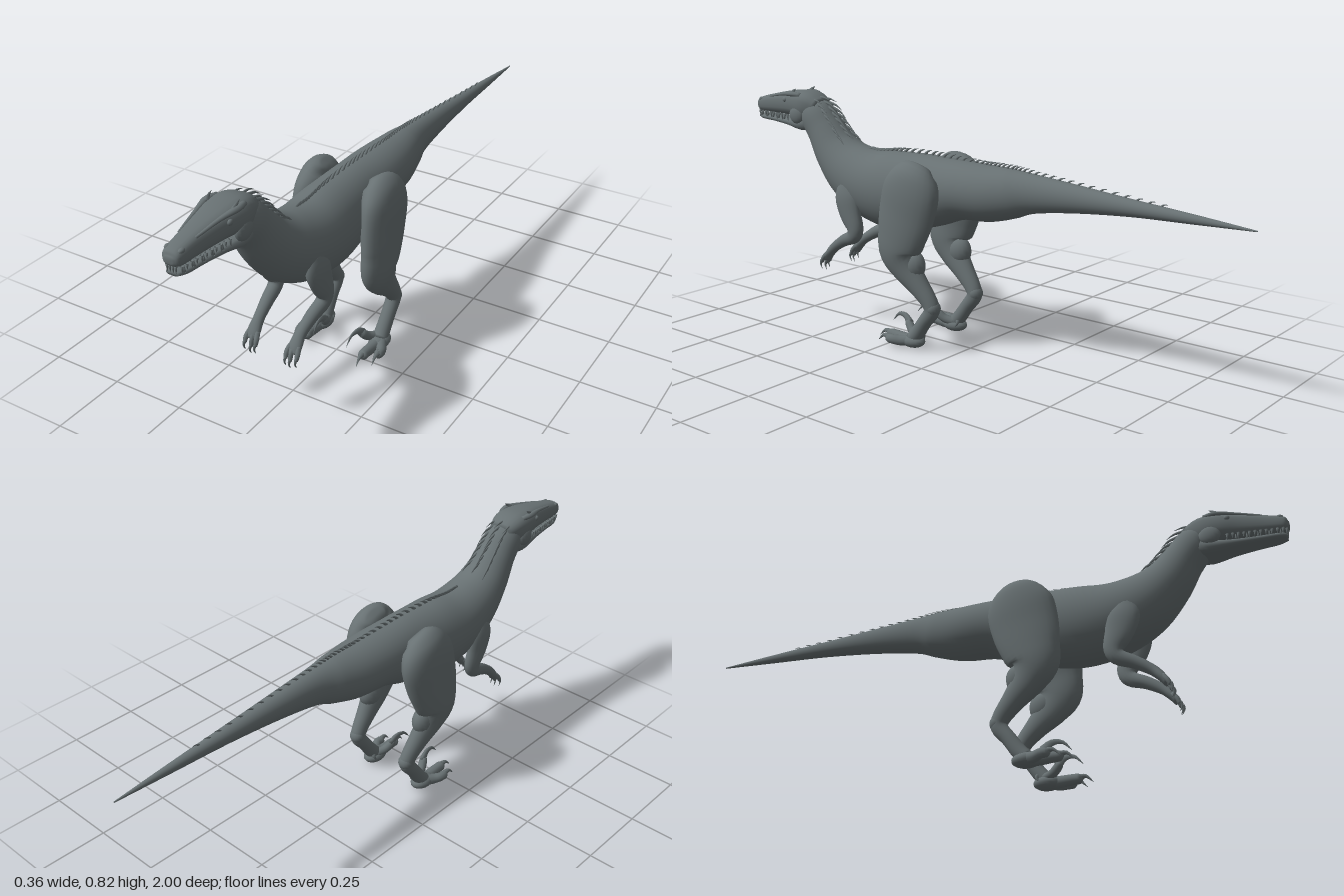
import * as THREE from 'three';

const skin = new THREE.MeshStandardMaterial({ color: 0x687173 });
skin.name = 'slate grey skin';

// Smooth sampler through stations [x, y, z, half width, half depth]
function sampler(stations) {
  const path = new THREE.CatmullRomCurve3(
    stations.map(s => new THREE.Vector3(s[0], s[1], s[2])), false, 'catmullrom', 0.5);
  const size = new THREE.CatmullRomCurve3(
    stations.map(s => new THREE.Vector3(s[3], s[4], 0)), false, 'catmullrom', 0.5);
  return t => {
    const centre = path.getPoint(t), r = size.getPoint(t), T = path.getTangent(t);
    const S = new THREE.Vector3(1, 0, 0).addScaledVector(T, -T.x).normalize();
    const U = new THREE.Vector3().crossVectors(T, S);
    const at = (angle, power = 1) => {
      const c = Math.cos(angle), s = Math.sin(angle);
      return centre.clone()
        .addScaledVector(S, Math.max(r.x, 0.0005) * Math.sign(c) * Math.abs(c) ** power)
        .addScaledVector(U, Math.max(r.y, 0.0005) * Math.sign(s) * Math.abs(s) ** power);
    };
    return { centre, T, S, U, at };
  };
}

// Skin elliptical rings along the stations and close both ends
function loft(name, stations, { sides = 16, steps = 4, power = 1 } = {}) {
  const sample = sampler(stations), rows = (stations.length - 1) * steps;
  const pos = [], idx = [];
  for (let i = 0; i <= rows; i++) {
    const ring = sample(i / rows);
    for (let j = 0; j < sides; j++) pos.push(...ring.at(j / sides * Math.PI * 2, power).toArray());
  }
  for (let i = 0; i < rows; i++) for (let j = 0; j < sides; j++) {
    const k = (j + 1) % sides, a = i * sides, b = a + sides;
    idx.push(a + j, a + k, b + k, a + j, b + k, b + j);
  }
  const start = pos.length / 3, last = rows * sides;
  pos.push(...sample(0).centre.toArray(), ...sample(1).centre.toArray());
  for (let j = 0; j < sides; j++) {
    const k = (j + 1) % sides;
    idx.push(start, k, j, start + 1, last + j, last + k);
  }
  const geo = new THREE.BufferGeometry();
  geo.setAttribute('position', new THREE.Float32BufferAttribute(pos, 3));
  geo.setIndex(idx);
  geo.computeVertexNormals();
  const mesh = new THREE.Mesh(geo, skin);
  mesh.name = name;
  return mesh;
}

// Tapering spike through a few points
function spike(name, points, radius, flat = 1) {
  const n = points.length - 1;
  return loft(name, points.map((p, i) => {
    const r = radius * (1 - i / n) + 0.0006;
    return [...p, r * flat, r];
  }), { sides: 7, steps: 3 });
}

function ball(name, x, y, z, rx, ry, rz) {
  const m = new THREE.Mesh(new THREE.SphereGeometry(1, 16, 12), skin);
  m.scale.set(rx, ry, rz);
  m.position.set(x, y, z);
  m.name = name;
  return m;
}

// Tail tip to the base of the skull
const bodyStations = [
  [0, 0.558, -1, 0.002, 0.002], [0, 0.563, -0.8, 0.014, 0.015], [0, 0.567, -0.6, 0.025, 0.027],
  [0, 0.567, -0.4, 0.037, 0.045], [0, 0.562, -0.25, 0.05, 0.063], [0, 0.552, -0.17, 0.07, 0.08],
  [0, 0.541, -0.08, 0.088, 0.092], [0, 0.538, 0.03, 0.097, 0.098], [0, 0.52, 0.15, 0.1, 0.12],
  [0, 0.5, 0.3, 0.111, 0.136], [0, 0.505, 0.42, 0.109, 0.125], [0, 0.54, 0.52, 0.098, 0.108],
  [0, 0.6, 0.6, 0.082, 0.084], [0, 0.675, 0.66, 0.068, 0.068], [0, 0.725, 0.705, 0.062, 0.064],
  [0, 0.74, 0.75, 0.045, 0.045],
];

function head() {
  const g = new THREE.Group();
  g.name = 'head';
  g.add(loft('skull', [
    [0, 0.742, 0.68, 0.045, 0.04], [0, 0.757, 0.73, 0.062, 0.05], [0, 0.761, 0.79, 0.06, 0.046],
    [0, 0.757, 0.85, 0.048, 0.041], [0, 0.75, 0.92, 0.037, 0.034], [0, 0.744, 0.97, 0.032, 0.028],
    [0, 0.741, 0.99, 0.027, 0.021], [0, 0.741, 0.999, 0.013, 0.009],
  ], { sides: 24, power: 0.75 }));
  g.add(loft('lowerJaw', [
    [0, 0.705, 0.7, 0.05, 0.035], [0, 0.691, 0.75, 0.057, 0.025], [0, 0.693, 0.82, 0.046, 0.015],
    [0, 0.696, 0.9, 0.036, 0.011], [0, 0.698, 0.96, 0.031, 0.01], [0, 0.7, 0.99, 0.02, 0.007],
  ], { sides: 20, power: 0.75 }));
  for (const s of [-1, 1]) {
    g.add(loft('browRidge', [
      [s * 0.045, 0.795, 0.74, 0.009, 0.008], [s * 0.05, 0.797, 0.78, 0.011, 0.009],
      [s * 0.039, 0.791, 0.84, 0.007, 0.006], [s * 0.027, 0.776, 0.92, 0.004, 0.004]], { sides: 10 }));
    g.add(spike('browHorn', [[s * 0.043, 0.794, 0.785], [s * 0.046, 0.807, 0.775], [s * 0.046, 0.817, 0.76]], 0.012, 0.6));
    g.add(ball('eye', s * 0.052, 0.775, 0.813, 0.008, 0.009, 0.011));
    g.add(ball('cheek', s * 0.05, 0.725, 0.755, 0.017, 0.033, 0.035));
    g.add(ball('nostril', s * 0.022, 0.763, 0.972, 0.008, 0.007, 0.012));
    // Teeth along the upper and lower jaw lines
    for (let i = 0; i < 11; i++) {
      const z = 0.81 + i * 0.017, x = s * (0.046 - 0.021 * i / 10), h = i % 2 ? 0.018 : 0.024;
      g.add(spike('upperTooth', [[x, 0.722, z], [x, 0.722 - h, z - 0.002]], 0.0045));
      if (i % 2) g.add(spike('lowerTooth', [[x * 0.92, 0.7, z + 0.008], [x * 0.92, 0.72, z + 0.008]], 0.004));
    }
  }
  for (const x of [-0.014, -0.005, 0.005, 0.014])
    g.add(spike('frontTooth', [[x, 0.725, 0.99], [x, 0.702, 0.99]], 0.0045));
  return g;
}

function leg(s) {
  const g = new THREE.Group();
  g.name = s > 0 ? 'leftLeg' : 'rightLeg';
  const X = list => list.map(([x, ...rest]) => [s * x, ...rest]);
  g.add(loft('thighAndShin', X([
    [0.088, 0.615, 0.135, 0.02, 0.04], [0.108, 0.593, 0.14, 0.05, 0.082], [0.121, 0.54, 0.15, 0.054, 0.11],
    [0.127, 0.46, 0.168, 0.05, 0.11], [0.132, 0.39, 0.185, 0.046, 0.098], [0.131, 0.33, 0.198, 0.045, 0.08],
    [0.126, 0.28, 0.175, 0.038, 0.058], [0.119, 0.225, 0.126, 0.031, 0.04], [0.114, 0.175, 0.084, 0.026, 0.03],
    [0.112, 0.142, 0.074, 0.025, 0.027], [0.112, 0.1, 0.105, 0.024, 0.024], [0.111, 0.055, 0.137, 0.025, 0.025],
    [0.111, 0.03, 0.16, 0.026, 0.024],
  ]), { sides: 24 }));
  g.add(ball('calf', s * 0.12, 0.29, 0.145, 0.034, 0.05, 0.045));
  g.add(ball('ankle', s * 0.112, 0.153, 0.068, 0.026, 0.027, 0.025));
  g.add(ball('footPad', s * 0.111, 0.024, 0.16, 0.034, 0.024, 0.048));
  // Two walking toes
  for (const [x, z, r] of [[0.109, 0.265, 0.02], [0.149, 0.235, 0.018]]) {
    g.add(loft('toe', X([
      [0.113, 0.028, 0.15, 0.02, 0.02], [x * 0.6 + 0.045, 0.023, 0.19, r, r],
      [x, 0.026, z - 0.02, r * 0.85, r * 0.9], [x, 0.026, z, r * 0.8, r * 0.8], [x, 0.026, z + 0.01, 0.005, 0.005],
    ]), { sides: 12 }));
    g.add(spike('toeClaw', X([[x, 0.03, z - 0.005], [x + 0.002, 0.033, z + 0.02], [x + 0.003, 0.012, z + 0.043]]), 0.011));
  }
  // Raised inner toe with its sickle claw
  g.add(loft('innerToe', X([
    [0.1, 0.035, 0.15, 0.015, 0.015], [0.085, 0.046, 0.185, 0.015, 0.015],
    [0.075, 0.066, 0.208, 0.013, 0.014], [0.073, 0.075, 0.218, 0.006, 0.006]]), { sides: 12 }));
  g.add(spike('sickleClaw', X([
    [0.074, 0.064, 0.203], [0.07, 0.086, 0.228], [0.066, 0.085, 0.262], [0.064, 0.057, 0.29]]), 0.016, 0.6));
  g.add(spike('dewClaw', X([[0.098, 0.05, 0.135], [0.087, 0.038, 0.13], [0.083, 0.02, 0.14]]), 0.01));
  return g;
}

function arm(s) {
  const g = new THREE.Group();
  g.name = s > 0 ? 'leftArm' : 'rightArm';
  const X = list => list.map(([x, ...rest]) => [s * x, ...rest]);
  g.add(loft('upperArmAndForearm', X([
    [0.08, 0.52, 0.48, 0.02, 0.035], [0.088, 0.47, 0.475, 0.026, 0.052], [0.091, 0.415, 0.46, 0.024, 0.047],
    [0.09, 0.365, 0.44, 0.023, 0.034], [0.087, 0.333, 0.45, 0.023, 0.026], [0.081, 0.31, 0.5, 0.021, 0.021],
    [0.076, 0.278, 0.552, 0.018, 0.017], [0.075, 0.25, 0.58, 0.022, 0.014], [0.075, 0.228, 0.594, 0.02, 0.01],
  ]), { sides: 18 }));
  for (const [x0, x1, y] of [[0.06, 0.055, 0.205], [0.074, 0.071, 0.2], [0.088, 0.093, 0.208]]) {
    g.add(loft('finger', X([
      [x0, 0.25, 0.583, 0.008, 0.009], [x1, 0.232, 0.598, 0.008, 0.008], [x1, y + 0.008, 0.606, 0.006, 0.006]]), { sides: 9 }));
    g.add(spike('fingerClaw', X([[x1, y + 0.013, 0.606], [x1, y, 0.612], [x1, y - 0.018, 0.605]]), 0.007, 0.7));
  }
  return g;
}

// Quill rooted on the body, swept backward
function quill(name, ring, angle, length, lift, radius) {
  const root = ring.at(angle), out = root.clone().sub(ring.centre).normalize();
  const point = (back, up) => root.clone().addScaledVector(ring.T, -back * length).addScaledVector(out, up).toArray();
  return spike(name, [point(-0.15, -0.004), point(0.4, lift * 0.7), point(1, lift)], radius, 0.7);
}

export function createModel() {
  const model = new THREE.Group();
  model.name = 'dinosaur';
  model.add(loft('bodyAndTail', bodyStations, { sides: 32, steps: 5 }), head());
  for (const s of [1, -1]) model.add(leg(s), arm(s));

  // Ridge of scutes from the shoulders down the tail
  const ring = sampler(bodyStations), ridge = new THREE.Group();
  ridge.name = 'backRidge';
  for (let i = 0; i < 46; i++) {
    const f = i / 45;
    ridge.add(quill('scute', ring((10.6 - 9.1 * f) / 15), Math.PI / 2,
      0.036 - 0.014 * f, 0.013 - 0.006 * f, 0.007 - 0.0035 * f));
  }
  // Three rows of quills on the nape
  const nape = new THREE.Group();
  nape.name = 'napeQuills';
  for (const row of [-1, 0, 1]) for (let i = 0; i < 7; i++)
    nape.add(quill('napeQuill', ring((12.3 + i * 0.32) / 15), Math.PI / 2 + row * 0.5, 0.05, 0.015, 0.006));
  model.add(ridge, nape);
  return model;
}
